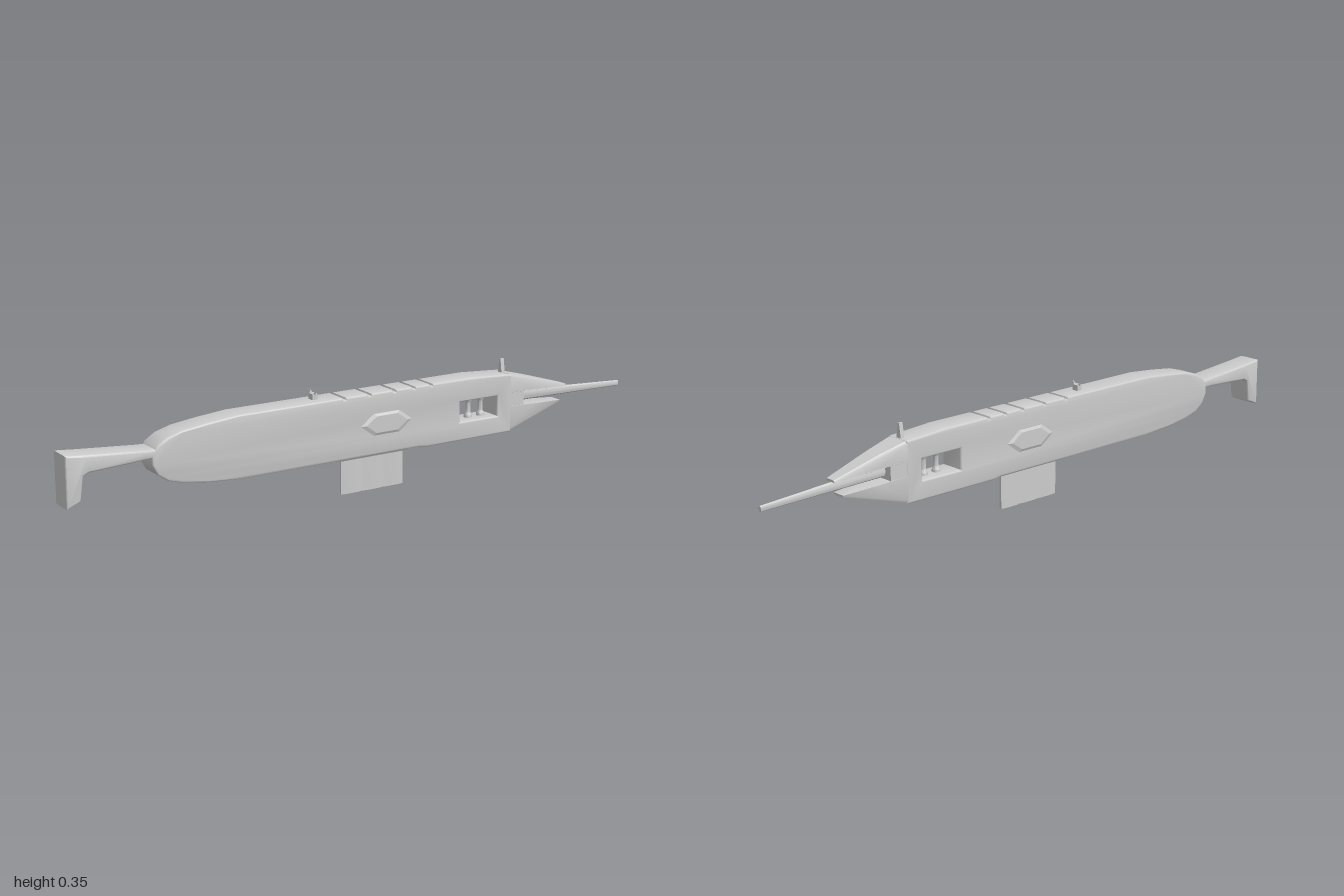
import * as THREE from 'three';
import { toCreasedNormals } from 'three/addons/utils/BufferGeometryUtils.js';
import { ConvexGeometry } from 'three/addons/geometries/ConvexGeometry.js';

const grey = new THREE.MeshStandardMaterial({ color: 0xcccccc });

export function createModel() {
  const group = new THREE.Group();

  const add = (name, geo, x = 0, y = 0, z = 0, crease = 0.6) => {
    const mesh = new THREE.Mesh(toCreasedNormals(geo, crease), grey);
    mesh.name = name;
    mesh.position.set(x, y, z);
    group.add(mesh);
    return mesh;
  };
  const toShape = pts => new THREE.Shape(pts.map(p => new THREE.Vector2(...p)));
  // Side outline extruded symmetrically about z = 0 with rounded edges
  const slab = (shape, half, bevel) => new THREE.ExtrudeGeometry(shape, {
    depth: 2 * (half - bevel), bevelSize: bevel, bevelThickness: bevel,
    bevelOffset: -bevel, bevelSegments: 3, curveSegments: 8,
  }).translate(0, 0, bevel - half);
  // Convex solid through sections [x, yLow, yHigh, halfZLow, halfZHigh]
  const loft = sections => new ConvexGeometry(sections.flatMap(([x, lo, hi, zl, zh = zl]) =>
    [[lo, zl], [hi, zh]].flatMap(([y, z]) => [1, -1].map(s => new THREE.Vector3(x, y, s * z)))));

  // Main body with grooves along the top and a window through the front
  const grooves = [-0.1, -0.01, 0.08, 0.15, 0.215].flatMap(x =>
    [[x - 0.006, 0.313], [x - 0.004, 0.307], [x + 0.004, 0.307], [x + 0.006, 0.313]]);
  const outline = toShape([
    [0.525, 0.303], [0.525, 0.116], [0.2, 0.115], [0.17, 0.12], [-0.46, 0.12],
    [-0.56, 0.127], [-0.64, 0.138], [-0.69, 0.153], [-0.722, 0.175], [-0.738, 0.205],
    [-0.738, 0.235], [-0.722, 0.26], [-0.69, 0.28], [-0.64, 0.294], [-0.56, 0.304], [-0.46, 0.313],
    ...grooves, [0.38, 0.313],
  ]);
  const window = [[0.325, 0.175], [0.47, 0.175], [0.47, 0.24], [0.325, 0.24]];
  outline.holes.push(new THREE.Path(window.map(p => new THREE.Vector2(...p))));
  add('body', slab(outline, 0.042, 0.006));

  // Posts inside the window
  const postProfile = [[0.013, 0.168], [0.013, 0.182], [0.008, 0.192], [0.008, 0.223], [0.013, 0.233], [0.013, 0.247]]
    .map(p => new THREE.Vector2(...p));
  for (const x of [0.385, 0.433]) add('windowPost', new THREE.LatheGeometry(postProfile, 12), x);

  // Tapering jaws around the barrel, and the block between them
  add('upperJaw', loft([
    [0.51, 0.245, 0.298, 0.042], [0.515, 0.245, 0.305, 0.042, 0.036],
    [0.62, 0.243, 0.278, 0.033, 0.027], [0.765, 0.228, 0.235, 0.02, 0.016],
  ]));
  add('lowerJaw', loft([
    [0.51, 0.123, 0.2, 0.042], [0.515, 0.115, 0.2, 0.036, 0.042],
    [0.62, 0.147, 0.193, 0.028, 0.034], [0.738, 0.179, 0.186, 0.018, 0.022],
  ]));
  add('jawCore', loft([[0.5, 0.18, 0.26, 0.042], [0.58, 0.18, 0.255, 0.035]]));

  // Slim tapering barrel
  const barrel = new THREE.CylinderGeometry(0.009, 0.019, 0.46, 8);
  barrel.rotateZ(-Math.PI / 2).scale(1, 1, 0.65).rotateZ(-0.037);
  add('barrel', barrel, 0.77, 0.212);

  // Skeleton stock with a downturned butt
  add('stock', slab(toShape([
    [-0.7, 0.25], [-0.7, 0.225], [-0.76, 0.224], [-0.93, 0.216], [-0.948, 0.208], [-0.958, 0.137],
    [-1, 0.12], [-1, 0.274], [-0.94, 0.268], [-0.75, 0.252],
  ]), 0.04, 0.006));

  // Thin magazine made of shallow ribbed panels, seen from above as a scalloped strip
  const ribs = [-0.09, -0.015, 0.06, 0.135];
  const edge = [];
  for (let i = 0; i < 3; i++) {
    const a = ribs[i], b = ribs[i + 1];
    edge.push([a, 0.0035], [a + 0.015, 0.0065], [b - 0.015, 0.0065]);
  }
  edge.push([0.135, 0.0035]);
  const strip = toShape([...edge, ...edge.map(([x, z]) => [x, -z]).reverse()]);
  const magazine = new THREE.ExtrudeGeometry(strip, { depth: 0.124, bevelEnabled: false });
  add('magazine', magazine.rotateX(-Math.PI / 2));
  add('magazineCollar', loft([[-0.1, 0.108, 0.125, 0.014, 0.025], [0.145, 0.108, 0.125, 0.014, 0.025]]));

  // Faceted boss on each flank
  const hexagon = (w, h) => [[-w, 0], [-w * 0.5, h], [w * 0.5, h], [w, 0.0], [w * 0.5, -h], [-w * 0.5, -h]];
  for (const s of [1, -1]) {
    const points = [
      ...hexagon(0.105, 0.04).map(([x, y]) => new THREE.Vector3(x, y, s * 0.039)),
      ...hexagon(0.075, 0.026).map(([x, y]) => new THREE.Vector3(x, y, s * 0.046)),
    ];
    add(s > 0 ? 'frontBoss' : 'backBoss', new ConvexGeometry(points), 0.05, 0.215, 0, 0.1);
  }

  // Narrow rail under the rear of the body
  add('lowerRail', loft([[-0.46, 0.117, 0.125, 0.012], [-0.15, 0.117, 0.125, 0.012]]));

  // Rear sight: base with two splayed horns
  add('rearSightBase', new THREE.BoxGeometry(0.018, 0.022, 0.022), -0.185, 0.32);
  for (const s of [1, -1]) {
    const horn = new THREE.ConeGeometry(0.008, 0.03, 4);
    horn.rotateX(s * 0.75);
    add('rearSightHorn', horn, -0.185, 0.331, s * 0.009);
  }

  // Front sight blade
  add('frontSight', loft([[0.508, 0.295, 0.348, 0.011, 0.003], [0.521, 0.295, 0.348, 0.011, 0.003]]));

  return group;
}
